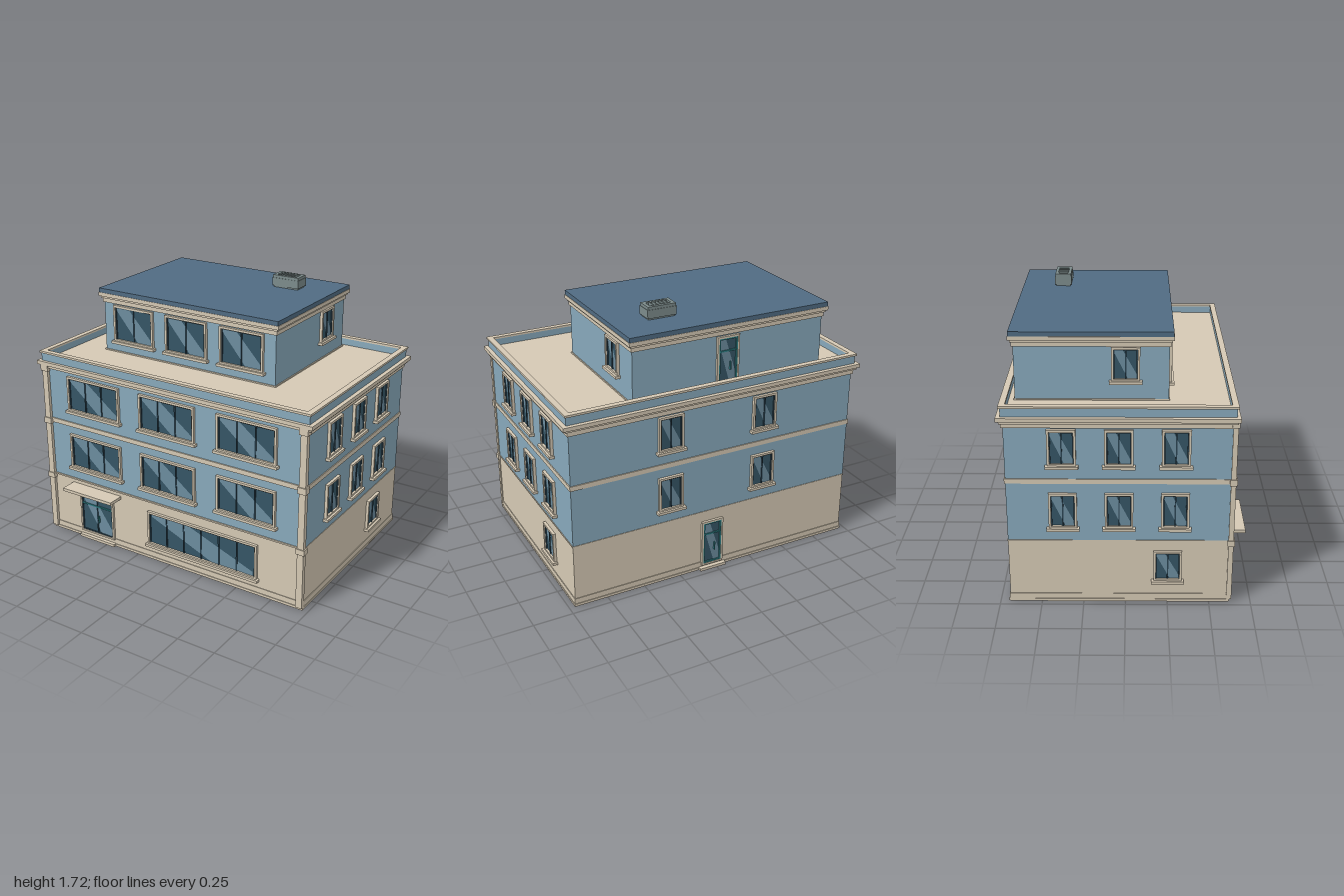
import * as THREE from 'three';

const mat = (color, extra = {}) => new THREE.MeshStandardMaterial({ color, ...extra });
const STONE = mat(0xd5c9b4), WALL = mat(0x88a9bb), ROOF = mat(0x506b82), GLASS = mat(0x355565);
const SHINE = mat(0x6c8c9e), SASH = mat(0x2b4452), TEAL = mat(0x2f7f85), METAL = mat(0x7c8b8b), DARK = mat(0x23292c);

function add(parent, name, geometry, material) {
  const m = new THREE.Mesh(geometry, material);
  m.name = name;
  parent.add(m);
  return m;
}

// Box given by its bounds
function box(parent, name, material, x0, x1, y0, y1, z0, z1) {
  const m = add(parent, name, new THREE.BoxGeometry(x1 - x0, y1 - y0, z1 - z0), material);
  m.position.set((x0 + x1) / 2, (y0 + y1) / 2, (z0 + z1) / 2);
  return m;
}

const polygon = (pts) => new THREE.Shape(pts.map(([x, y]) => new THREE.Vector2(x, y)));
const rect = (x0, x1, y0, y1) => polygon([[x0, y0], [x1, y0], [x1, y1], [x0, y1]]);

// Rectangular frame in the xy plane, extruded along +z
function frameGeometry(x0, x1, y0, y1, t, depth) {
  const s = rect(x0, x1, y0, y1);
  s.holes.push(rect(x0 + t, x1 - t, y0 + t, y1 - t));
  return new THREE.ExtrudeGeometry(s, { depth, bevelEnabled: false });
}

// Horizontal rectangular ring
function ring(parent, name, material, x0, x1, y0, y1, z0, z1, t) {
  const m = add(parent, name, frameGeometry(x0, x1, -z1, -z0, t, y1 - y0), material);
  m.rotation.x = -Math.PI / 2;
  m.position.y = y0;
}

// Glazing with a slanted reflection and vertical mullions, facing local +z
function glazing(g, w, h, panes) {
  box(g, 'glass', GLASS, -w / 2, w / 2, 0, h, -0.01, 0.004);
  const at = (u, v) => [(u - 0.5) * w, v * h];
  const stripe = polygon([at(0.02, 1), at(0.02, 0.9), at(0.62, 0), at(0.98, 0), at(0.98, 0.16), at(0.36, 1)]);
  add(g, 'reflection', new THREE.ShapeGeometry(stripe), SHINE).position.z = 0.006;
  for (let i = 1; i < panes; i++) {
    const x = (i / panes - 0.5) * w;
    box(g, 'mullion', SASH, x - 0.004, x + 0.004, 0, h, 0, 0.011);
  }
  add(g, 'sash', frameGeometry(-w / 2, w / 2, 0, h, 0.006, 0.011), SASH);
}

// Window: w and h are the outer size of the surround, y is its lower edge
function makeWindow(w, h, panes) {
  const g = new THREE.Group();
  g.name = 'window';
  const t = 0.014;
  const pane = new THREE.Group();
  pane.name = 'glazing';
  pane.position.y = t / 2;
  glazing(pane, w - 2 * t, h - 1.5 * t, panes);
  g.add(pane);
  add(g, 'surround', frameGeometry(-w / 2, w / 2, 0, h, t, 0.018), STONE);
  box(g, 'sill', STONE, -w / 2 - 0.013, w / 2 + 0.013, -0.014, 0.003, 0, 0.032);
  return g;
}

// Glazed door with a teal rail, a handle and a low step
function makeDoor(w, h, panes, trim) {
  const g = new THREE.Group();
  g.name = 'door';
  glazing(g, w, h, panes);
  add(g, 'doorFrame', frameGeometry(-w / 2 - 0.012, w / 2 + 0.012, -0.012, h + 0.012, 0.012, 0.016), STONE);
  box(g, 'rail', TEAL, -w / 2, w / 2, h * 0.7, h * 0.7 + 0.01, 0, 0.012);
  if (trim) add(g, 'tealFrame', frameGeometry(-w / 2, w / 2, 0, h, 0.01, 0.013), TEAL);
  box(g, 'handle', TEAL, 0.012, 0.018, h * 0.3, h * 0.48, 0.004, 0.02);
  return g;
}

// Building footprint
const X = 0.96, ZF = 0.615, ZB = -0.69;
const P = { x0: -0.74, x1: 0.54, zf: 0.25, zb: -0.64 };

// Set an opening on a wall; u is the world coordinate along that wall
function place(parent, side, u, y, part, wall) {
  const [x, z, r] = {
    front: [u, wall, 0], back: [u, wall, Math.PI],
    left: [wall, u, Math.PI / 2], right: [wall, u, -Math.PI / 2],
  }[side];
  part.position.set(x, y, z);
  part.rotation.y = r;
  parent.add(part);
}

export function createModel() {
  const root = new THREE.Group();
  root.name = 'building';

  // Storeys
  box(root, 'groundFloor', STONE, -X, X, 0, 0.42, ZB, ZF);
  box(root, 'upperFloors', WALL, -X, X, 0.42, 1.19, ZB, ZF);
  box(root, 'plinth', STONE, -X - 0.004, X + 0.004, 0, 0.055, ZB - 0.004, ZF + 0.004);
  box(root, 'baseSlab', STONE, -X - 0.008, X + 0.008, 0.006, 0.02, ZB - 0.008, ZF + 0.008);
  box(root, 'floorBand', STONE, -X - 0.006, X + 0.006, 0.79, 0.82, ZB - 0.006, ZF + 0.008);
  box(root, 'lowerBand', STONE, -X - 0.003, X + 0.003, 0.41, 0.42, ZB - 0.003, ZF + 0.008);
  box(root, 'frieze', STONE, -X - 0.01, X + 0.01, 1.14, 1.19, ZB - 0.01, ZF - 0.01);
  box(root, 'frontFrieze', STONE, -X - 0.01, X + 0.01, 1.165, 1.19, ZF - 0.02, ZF + 0.015);

  // Front corner pilasters with collars at each floor
  for (const s of [-1, 1]) {
    const p = new THREE.Group();
    p.name = 'cornerPilaster';
    const c = s * 0.946;
    box(p, 'shaft', STONE, c - 0.021, c + 0.021, 0.02, 1.19, ZF - 0.01, 0.635);
    for (const [a, b] of [[0.385, 0.42], [0.78, 0.82], [1.145, 1.19]])
      box(p, 'collar', STONE, c - 0.028, c + 0.028, a, b, ZF - 0.016, 0.642);
    root.add(p);
  }

  // Cornice, terrace and parapet
  box(root, 'corniceLower', STONE, -0.985, 0.985, 1.17, 1.188, -0.71, 0.632);
  box(root, 'cornice', STONE, -1, 1, 1.186, 1.21, -0.725, 0.645);
  box(root, 'terrace', STONE, -0.96, 0.96, 1.2, 1.218, -0.69, 0.61);
  ring(root, 'parapet', WALL, -0.974, 0.974, 1.205, 1.262, -0.7, 0.624, 0.024);
  ring(root, 'parapetCap', STONE, -0.982, 0.982, 1.262, 1.275, -0.709, 0.633, 0.036);

  // Front openings
  for (const y of [0.505, 0.905])
    for (const x of [-0.565, 0, 0.565]) place(root, 'front', x, y, makeWindow(0.41, 0.235, 3), ZF);
  place(root, 'front', 0.245, 0.112, makeWindow(0.81, 0.236, 6), ZF);
  place(root, 'front', -0.577, 0.06, makeDoor(0.25, 0.275, 2, false), ZF);
  box(root, 'entranceCanopy', STONE, -0.775, -0.38, 0.365, 0.385, ZF - 0.01, 0.725);
  box(root, 'frontStep', STONE, -0.72, -0.435, 0.003, 0.022, ZF - 0.01, 0.642);

  // Side openings, turned half round from one side to the other
  const mid = ZF + ZB;
  for (const [side, wall, turn] of [['left', X, (z) => z], ['right', -X, (z) => mid - z]]) {
    for (const y of [0.505, 0.905])
      for (const z of [0.288, -0.038, -0.364]) place(root, side, turn(z), y, makeWindow(0.165, 0.225, 2), wall);
    place(root, side, turn(-0.325), 0.15, makeWindow(0.168, 0.2, 2), wall);
  }

  // Back openings
  for (const y of [0.505, 0.905])
    for (const x of [-0.32, 0.32]) place(root, 'back', x, y, makeWindow(0.165, 0.225, 2), ZB);
  place(root, 'back', 0.03, 0.045, makeDoor(0.125, 0.29, 1, true), ZB);
  box(root, 'backStep', STONE, -0.06, 0.12, 0.003, 0.022, -0.72, ZB + 0.01);

  // Penthouse
  const pent = new THREE.Group();
  pent.name = 'penthouse';
  root.add(pent);
  const around = (name, m, y0, y1, d) =>
    box(pent, name, m, P.x0 - d, P.x1 + d, y0, y1, P.zb - d, P.zf + d);
  around('walls', WALL, 1.21, 1.59, 0);
  around('skirting', STONE, 1.21, 1.226, 0.006);
  around('frieze', STONE, 1.545, 1.59, 0.008);
  around('corniceLower', STONE, 1.572, 1.588, 0.016);
  around('cornice', STONE, 1.586, 1.61, 0.027);
  around('roof', ROOF, 1.61, 1.638, 0.024);
  for (const x of [-0.505, -0.1, 0.305]) place(pent, 'front', x, 1.295, makeWindow(0.31, 0.243, 2), P.zf);
  place(pent, 'left', -0.39, 1.338, makeWindow(0.165, 0.205, 2), P.x1);
  place(pent, 'right', 0, 1.338, makeWindow(0.165, 0.205, 2), P.x0);
  place(pent, 'back', -0.08, 1.235, makeDoor(0.125, 0.29, 1, true), P.zb);

  // Roof ventilation unit with a slatted opening
  const vent = new THREE.Group();
  vent.name = 'roofVent';
  root.add(vent);
  box(vent, 'base', METAL, 0.17, 0.342, 1.635, 1.65, -0.452, -0.362);
  box(vent, 'casing', METAL, 0.162, 0.35, 1.648, 1.7, -0.46, -0.354);
  ring(vent, 'rim', METAL, 0.165, 0.347, 1.7, 1.718, -0.457, -0.357, 0.022);
  box(vent, 'opening', DARK, 0.187, 0.325, 1.695, 1.704, -0.435, -0.379);
  for (let i = 0; i < 5; i++) {
    const x = 0.21 + i * 0.023;
    box(vent, 'slat', METAL, x - 0.004, x + 0.004, 1.7, 1.722, -0.44, -0.374);
  }
  return root;
}
